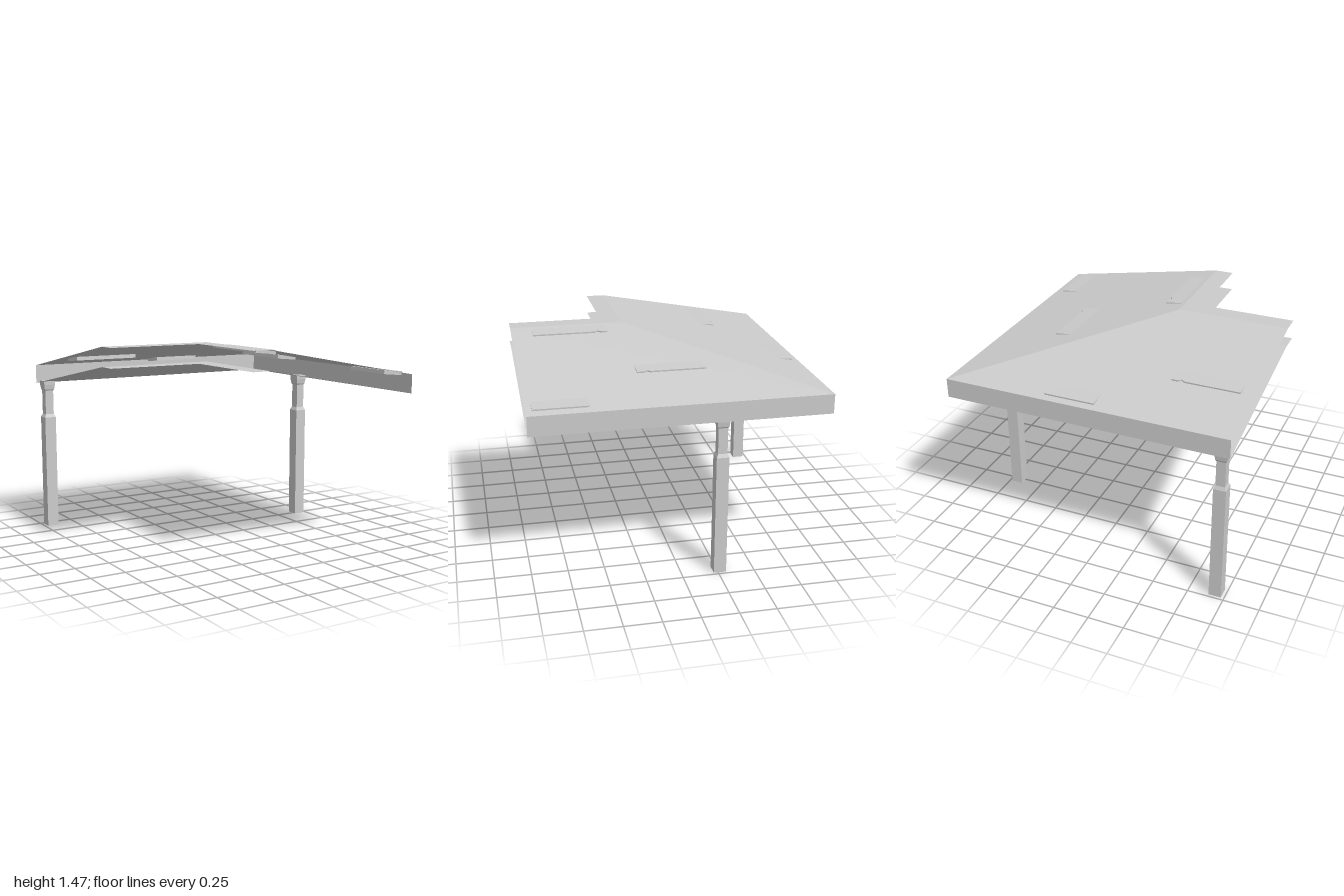
import * as THREE from 'three';

const grey = new THREE.MeshStandardMaterial({ color: 0xcccccc, flatShading: true, side: THREE.DoubleSide });
const RIDGE = 1.465, EAVE = 1.245, DEPTH = 0.135;
const roofY = (x) => RIDGE - (x + 0.2) * (RIDGE - EAVE) / 1.2; // height of the right slope at x

function addMesh(parent, name, geometry) {
  const mesh = new THREE.Mesh(geometry, grey);
  mesh.name = name;
  parent.add(mesh);
  return mesh;
}

// Flat-shaded quads, each four corners counter-clockwise
function quads(list) {
  const pos = [];
  for (const [a, b, c, d] of list) pos.push(...a, ...b, ...c, ...a, ...c, ...d);
  const g = new THREE.BufferGeometry();
  g.setAttribute('position', new THREE.Float32BufferAttribute(pos, 3));
  g.computeVertexNormals();
  return g;
}

// L-shaped sheet: two slopes meeting at a hip, and a flat strip along the ridge
function sheet(drop, flip) {
  const r = RIDGE - drop, e = EAVE - drop, n = -0.333;
  const corner = [-0.2, r, 0.2], hip = [1, e, -1], inner = [n, r, -n];
  const frontRidge = [-0.2, r, 1], sideRidge = [-1, r, 0.2];
  const list = [
    [frontRidge, [1, e, 1], hip, corner],
    [corner, hip, [-1, e, -1], sideRidge],
    [sideRidge, [-1, r, -n], inner, corner],
    [corner, inner, [n, r, 1], frontRidge],
  ];
  return quads(flip ? list.map((q) => q.reverse()) : list);
}

// Loose tile tilted flatter than the roof, its lower edge at x, spanning z0..z1
function tile(x, z0, z1, notch) {
  const length = 0.16, thick = 0.027;
  const s = new THREE.Shape();
  s.moveTo(-length, -z1);
  s.lineTo(0, -z1);
  if (notch !== undefined) {
    s.lineTo(0, -notch - 0.022);
    s.lineTo(-0.016, -notch);
    s.lineTo(0, -notch + 0.022);
  }
  s.lineTo(0, -z0);
  s.lineTo(-length, -z0);
  s.closePath();
  const g = new THREE.ExtrudeGeometry(s, { depth: thick, bevelEnabled: false });
  g.rotateX(-Math.PI / 2).translate(0, -thick, 0).rotateZ(-0.095);
  return g.translate(x, roofY(x) + 0.01, 0);
}

export function createModel() {
  const model = new THREE.Group();
  model.name = 'cornerRoof';

  // Roof shell, open at the inner ends
  const roof = new THREE.Group();
  roof.name = 'roof';
  model.add(roof);
  addMesh(roof, 'roofTop', sheet(0, false));
  addMesh(roof, 'roofUnderside', sheet(DEPTH, true));
  const low = EAVE - DEPTH;
  addMesh(roof, 'eaveFascia', quads([
    [[1, low, 1], [1, low, -1], [1, EAVE, -1], [1, EAVE, 1]],
    [[1, low, -1], [-1, low, -1], [-1, EAVE, -1], [1, EAVE, -1]],
  ]));

  // Tiles on the side slope
  for (const args of [[0.56, -0.25, 0.225, 0.155], [-0.053, 0.32, 0.85, 0.39], [0.94, 0.6, 0.96]])
    addMesh(roof, 'sideTile', tile(...args));

  // Tiles on the back slope, turned a quarter
  for (const args of [[0.95, -0.063, 0.29], [0.57, -0.915, -0.445, -0.51]])
    addMesh(roof, 'backTile', tile(...args)).rotation.y = Math.PI / 2;

  // Square posts with a slim neck and flared head
  const profile = [[0, 0], [0.043, 0], [0.043, 0.85], [0.032, 0.875], [0.032, 1.055],
    [0.038, 1.065], [0.043, 1.1], [0.043, 1.13], [0, 1.13]]
    .map(([half, y]) => new THREE.Vector2(half * Math.SQRT2, y));
  for (const [x, z] of [[-0.935, -0.937], [0.938, -0.262]]) {
    const post = addMesh(model, 'post', new THREE.LatheGeometry(profile, 4).rotateY(Math.PI / 4));
    post.position.set(x, 0, z);
  }
  return model;
}
